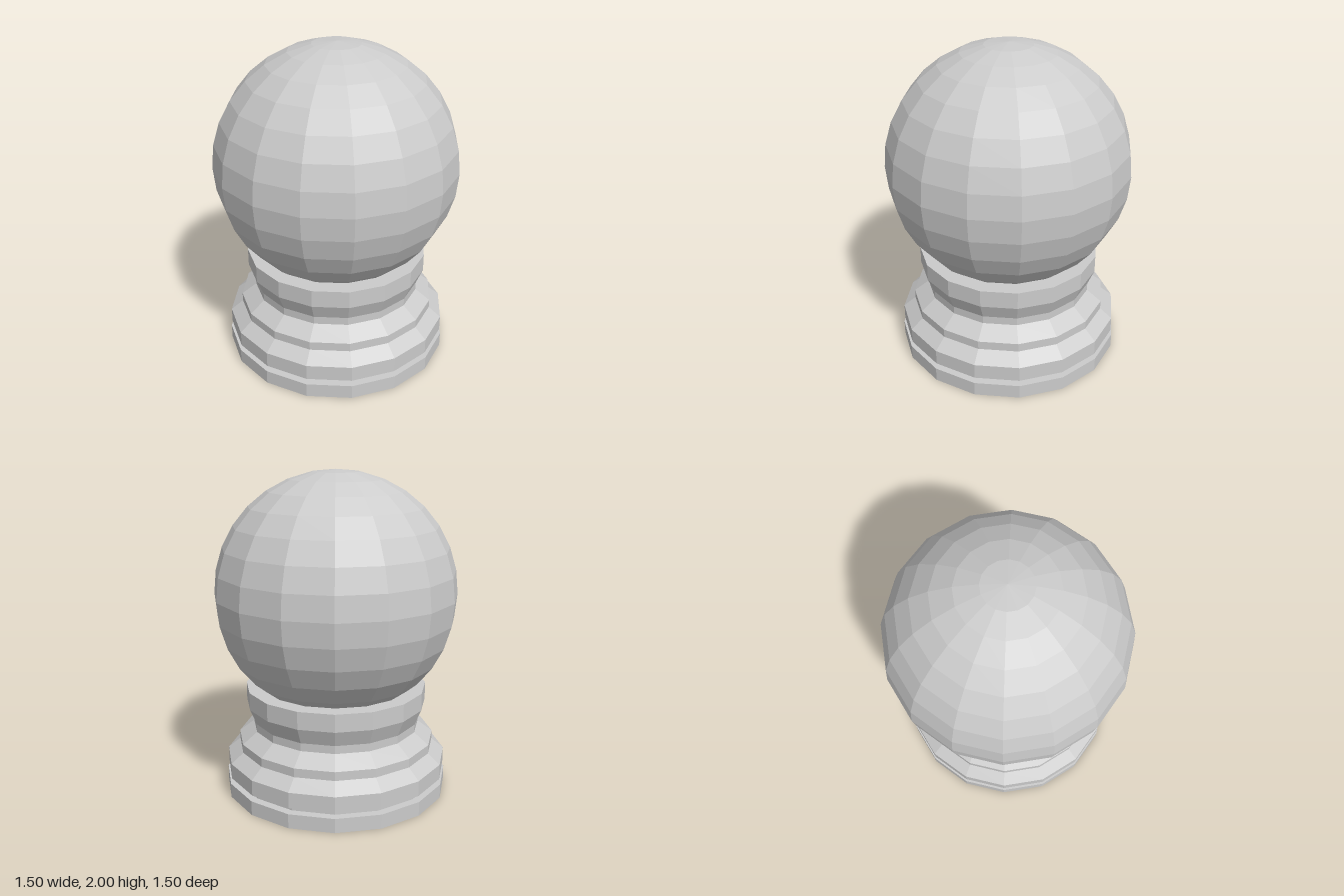
import * as THREE from 'three';

const SIDES = 16;

export function createModel() {
  const group = new THREE.Group();
  const material = new THREE.MeshStandardMaterial({ color: 0xcccccc, flatShading: true });

  const add = (name, geometry, y = 0) => {
    const mesh = new THREE.Mesh(geometry, material);
    mesh.name = name;
    mesh.position.y = y;
    group.add(mesh);
  };

  // Faceted globe resting in the collar
  add('globe', new THREE.SphereGeometry(0.75, SIDES, 16), 1.25);

  // Turned pedestal: [radius, height] from the underside up to the collar rim
  const profile = [
    [0, 0], [0.705, 0], [0.705, 0.09],   // foot
    [0.655, 0.09], [0.655, 0.125],       // groove
    [0.697, 0.125], [0.697, 0.222],      // wide band
    [0.62, 0.285], [0.62, 0.34],         // step
    [0.527, 0.41], [0.527, 0.46],        // neck
    [0.568, 0.56], [0.568, 0.67],        // collar
    [0.4, 0.67],                         // rim, running into the globe
  ].map(([r, y]) => new THREE.Vector2(r, y));
  add('pedestal', new THREE.LatheGeometry(profile, SIDES));

  return group;
}
